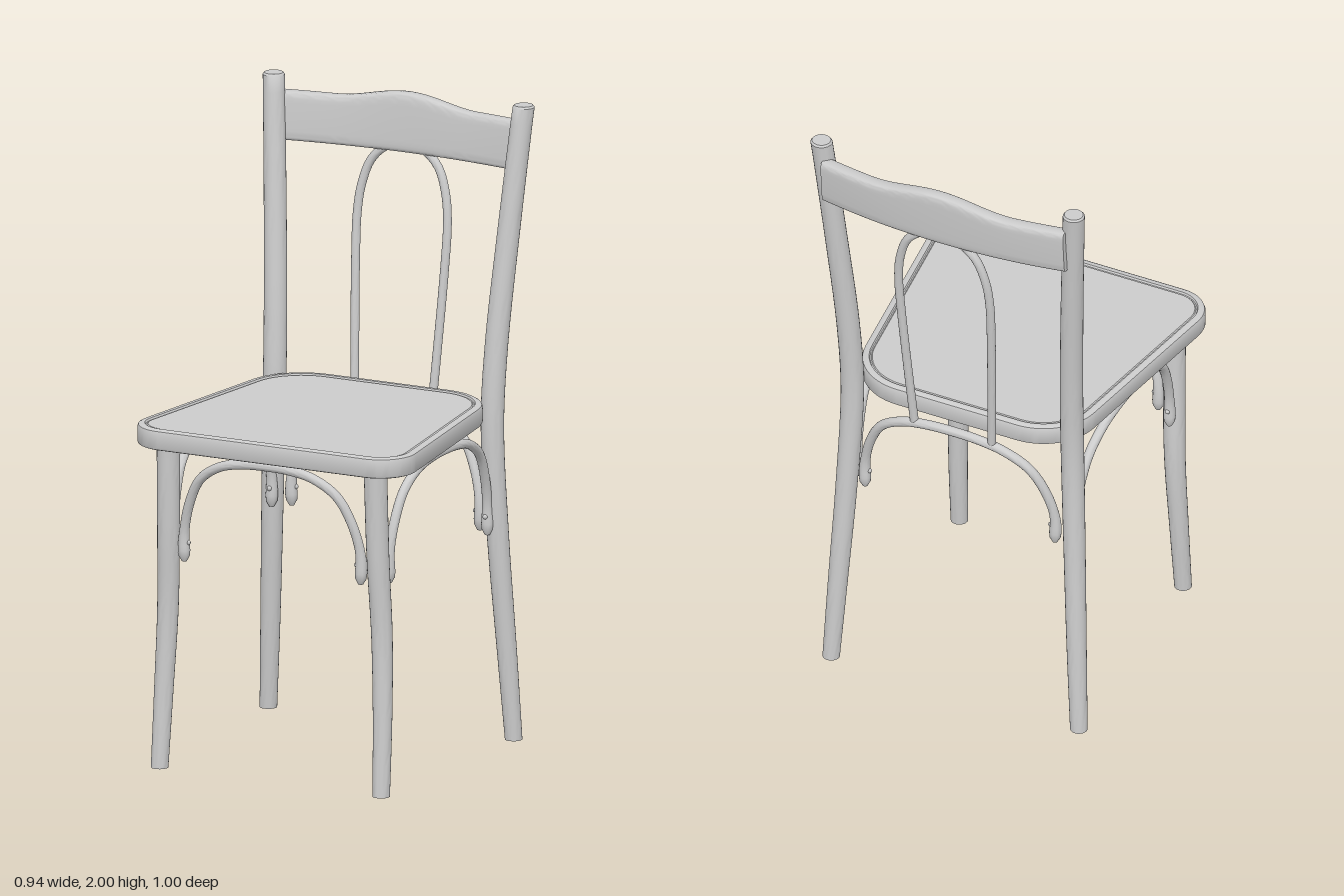
import * as THREE from 'three';
import { toCreasedNormals } from 'three/addons/utils/BufferGeometryUtils.js';

const V = (x, y, z) => new THREE.Vector3(x, y, z);
const material = new THREE.MeshStandardMaterial({ color: 0xcccccc });

// Skin a list of equal-length closed rings and cap both ends
function loft(rings) {
  const n = rings[0].length, pos = [], idx = [];
  const centre = r => r.reduce((s, p) => s.add(p), V(0, 0, 0)).divideScalar(n);
  rings.forEach(r => r.forEach(p => pos.push(p.x, p.y, p.z)));
  const first = rings.length * n, last = first + 1;
  pos.push(...centre(rings[0]).toArray(), ...centre(rings[rings.length - 1]).toArray());
  for (let j = 0; j < n; j++) {
    const k = (j + 1) % n, top = (rings.length - 1) * n;
    for (let i = 0; i < rings.length - 1; i++) {
      const a = i * n + j, b = i * n + k;
      idx.push(a, a + n, b, b, a + n, b + n);
    }
    idx.push(first, j, k, last, top + k, top + j);
  }
  const g = new THREE.BufferGeometry();
  g.setAttribute('position', new THREE.Float32BufferAttribute(pos, 3));
  g.setIndex(idx);
  return toCreasedNormals(g, 0.6);
}

function part(name, geometry) {
  const mesh = new THREE.Mesh(geometry, material);
  mesh.name = name;
  return mesh;
}

// Turned leg with level ends: stations are [x, y, z, radius]
function legGeometry(stations, side) {
  const path = new THREE.CatmullRomCurve3(stations.map(s => V(s[0] * side, s[1], s[2])));
  const radii = new THREE.CatmullRomCurve3(stations.map(s => V(s[3], s[1], 0)));
  const ring = (c, r, y) => Array.from({ length: 24 }, (_, j) => {
    const a = j / 24 * Math.PI * 2;
    return V(c.x + r * Math.cos(a), y, c.z + r * Math.sin(a));
  });
  const rings = [];
  for (let i = 0; i <= 40; i++) {
    const c = path.getPoint(i / 40), r = radii.getPoint(i / 40).x;
    if (i === 40) rings.push(ring(c, r, c.y - 0.006), ring(c, r - 0.005, c.y));
    else rings.push(ring(c, r, c.y));
  }
  return loft(rings);
}

// Round bent rod along a smooth path; radius may vary with t
function rodGeometry(points, radius, steps = 64) {
  const path = new THREE.CatmullRomCurve3(points, false, 'centripetal');
  const f = path.computeFrenetFrames(steps);
  const rings = [];
  for (let i = 0; i <= steps; i++) {
    const c = path.getPointAt(i / steps), r = radius(i / steps);
    rings.push(Array.from({ length: 16 }, (_, j) => {
      const a = j / 16 * Math.PI * 2;
      return c.clone().addScaledVector(f.normals[i], r * Math.cos(a))
        .addScaledVector(f.binormals[i], -r * Math.sin(a));
    }));
  }
  return loft(rings);
}

// Rounded trapezoid outline, moved inward by inset
function seatRing(inset, y) {
  const tilt = -0.1329, nx = Math.cos(tilt), nz = Math.sin(tilt);
  const d = nx * 0.487 + nz * 0.5, half = [];
  for (const [r, edge, a0, a1] of [[0.19, -0.36, -Math.PI / 2, tilt], [0.114, 0.5, tilt, Math.PI / 2]]) {
    const cz = edge - Math.sign(edge) * r, cx = (d - r - nz * cz) / nx;
    for (let i = 0; i <= 14; i++) {
      const a = a0 + (a1 - a0) * i / 14;
      half.push(V(cx + (r - inset) * Math.cos(a), y, cz + (r - inset) * Math.sin(a)));
    }
  }
  return [...half, ...half.slice().reverse().map(p => V(-p.x, p.y, p.z))];
}

// Bowed crest rail with a gentle hump in the middle
function railGeometry() {
  const rings = [], pw = v => Math.sign(v) * Math.abs(v) ** 0.35;
  for (let i = 0; i <= 48; i++) {
    const u = i / 24 - 1, x = u * 0.415;
    const hump = Math.abs(x) < 0.25 ? Math.cos(Math.PI * x / 0.5) ** 2 : 0;
    const top = 1.942 + 0.033 * hump, bottom = 1.79;
    const z = -0.43 - 0.04 * (1 - u * u);
    rings.push(Array.from({ length: 28 }, (_, j) => {
      const a = j / 28 * Math.PI * 2, c = pw(Math.cos(a)), s = pw(Math.sin(a));
      return V(x, (top + bottom) / 2 + c * (top - bottom) / 2, z - s * 0.025 - c * 0.006);
    }));
  }
  return loft(rings);
}

// Half arch profile: [share of half span, height]
const ARCH = [[1, 0.66], [1, 0.75], [0.92, 0.85], [0.77, 0.935], [0.52, 0.985], [0.25, 1.002], [0, 1.005]];

// Bent brace under the seat; place(u, bow) gives the ground position
function brace(name, place) {
  const group = new THREE.Group();
  group.name = name;
  const half = ARCH.map(([u, y]) => [u, y]);
  const all = [...half, ...half.slice(0, -1).reverse().map(([u, y]) => [-u, y])];
  const points = all.map(([u, y]) => {
    const [x, z] = place(u, 1 - u ** 4);
    return V(x, y, z);
  });
  const radius = t => {
    const e = Math.min(t, 1 - t);
    return e < 0.02 ? 0.008 + 0.6 * e : 0.02 - 0.005 * Math.min(1, (e - 0.02) / 0.08);
  };
  group.add(part('bentRod', rodGeometry(points, radius)));
  // Small screw heads at the ends
  for (const u of [-1, 1]) {
    const [x, z] = place(u * 0.955, 0);
    const screw = part('screw', new THREE.SphereGeometry(0.008, 10, 8));
    screw.position.set(x, 0.72, z);
    group.add(screw);
  }
  return group;
}

export function createModel() {
  const chair = new THREE.Group();
  chair.name = 'chair';

  // Seat with rounded rim and a shallow groove around the panel
  const profile = [[0.01, 1.02], [0.003, 1.023], [0, 1.03], [0, 1.073], [0.003, 1.081], [0.01, 1.085],
    [0.023, 1.085], [0.026, 1.079], [0.03, 1.079], [0.033, 1.082]];
  chair.add(part('seat', loft(profile.map(([inset, y]) => seatRing(inset, y)))));

  for (const side of [-1, 1]) {
    const label = side > 0 ? 'left' : 'right';
    // Front legs, slightly curved
    chair.add(part(label + 'FrontLeg', legGeometry([
      [0.383, 0, 0.434, 0.027], [0.378, 0.25, 0.415, 0.03], [0.37, 0.5, 0.404, 0.033],
      [0.362, 0.75, 0.415, 0.035], [0.358, 1.03, 0.424, 0.036]], side)));
    // Back legs run up into the back posts
    chair.add(part(label + 'BackPost', legGeometry([
      [0.424, 0, -0.367, 0.027], [0.408, 0.3, -0.35, 0.031], [0.39, 0.65, -0.328, 0.034],
      [0.377, 1.0, -0.316, 0.036], [0.382, 1.25, -0.333, 0.036], [0.405, 1.625, -0.375, 0.035],
      [0.432, 2, -0.418, 0.034]], side)));
    chair.add(brace(label + 'Brace', (u, b) => [side * (0.373 + 0.017 * b), 0.035 + 0.325 * u]));
  }
  chair.add(brace('frontBrace', (u, b) => [0.305 * u, 0.42 + 0.04 * b]));
  chair.add(brace('backBrace', (u, b) => [0.325 * u, -0.332 - 0.05 * b]));

  // Back: crest rail and bent hoop
  chair.add(part('crestRail', railGeometry()));
  const hoop = [[0.132, 0.99], [0.143, 1.2], [0.154, 1.45], [0.156, 1.58], [0.146, 1.67],
    [0.115, 1.755], [0.06, 1.803], [0, 1.813]];
  const path = [...hoop, ...hoop.slice(0, -1).reverse().map(([x, y]) => [-x, y])]
    .map(([x, y]) => V(x, y, -0.38 - 0.106 * (y - 1)));
  chair.add(part('backHoop', rodGeometry(path, () => 0.0135, 80)));
  return chair;
}
